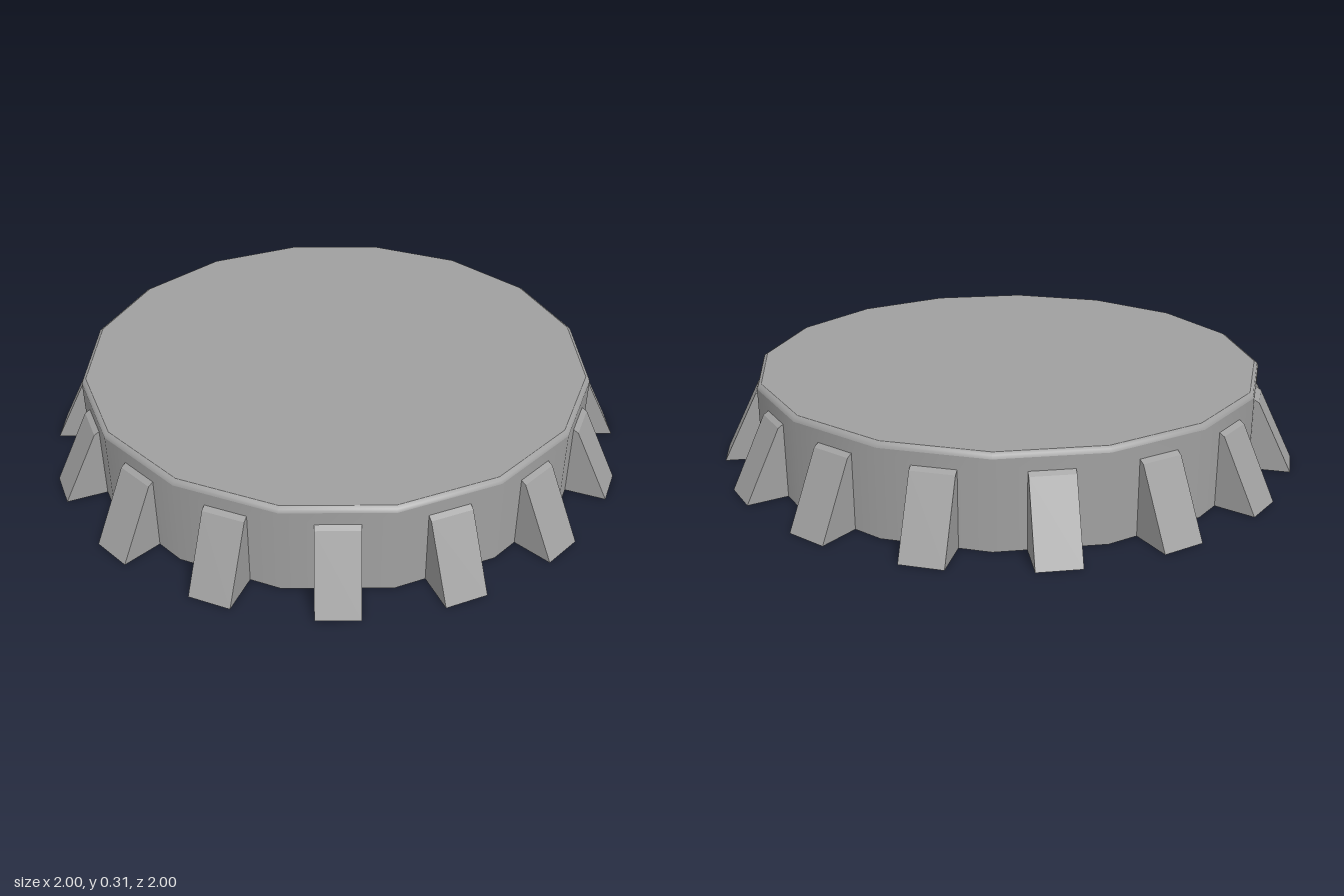
import * as THREE from 'three';

const SIDES = 16;
const STEP = (Math.PI * 2) / SIDES;
const R = 0.885;                          // corner radius of the wall
const APOTHEM = R * Math.cos(STEP / 2);   // middle of each wall panel
const HALF_SIDE = R * Math.sin(STEP / 2);
const HALF_RIDGE = 0.07;
const RIDGE_TOP = 0.25;
const WALL_TOP = 0.293;
const TOP = 0.31;

// One wall panel, notched where the hollow ridge opens into the cap
function wallPanelGeometry() {
  const shape = new THREE.Shape([
    [-HALF_SIDE, 0], [-HALF_RIDGE, 0], [-HALF_RIDGE, RIDGE_TOP], [HALF_RIDGE, RIDGE_TOP],
    [HALF_RIDGE, 0], [HALF_SIDE, 0], [HALF_SIDE, WALL_TOP], [-HALF_SIDE, WALL_TOP],
  ].map(([x, y]) => new THREE.Vector2(x, y)));
  const geo = new THREE.ShapeGeometry(shape).translate(0, 0, APOTHEM);
  // radial normals, so that the ring of panels shades smoothly
  const pos = geo.attributes.position;
  const n = new THREE.Vector3();
  for (let i = 0; i < pos.count; i++) {
    n.set(pos.getX(i), 0, pos.getZ(i)).normalize();
    geo.attributes.normal.setXYZ(i, n.x, n.y, n.z);
  }
  return geo;
}

// Hollow wedge, open below and towards the inside
function ridgeGeometry() {
  const profile = [[APOTHEM, RIDGE_TOP], [0.885, 0.24], [1.005, 0], [APOTHEM, 0]];
  const at = (x, k) => [x, profile[k][1], profile[k][0]];
  const w = HALF_RIDGE;
  const verts = [];
  const quad = (a, b, c, d) => verts.push(...a, ...b, ...c, ...a, ...c, ...d);
  for (let k = 0; k < 2; k++) quad(at(-w, k), at(-w, k + 1), at(w, k + 1), at(w, k));
  quad(at(w, 0), at(w, 1), at(w, 2), at(w, 3));
  quad(at(-w, 3), at(-w, 2), at(-w, 1), at(-w, 0));
  const geo = new THREE.BufferGeometry();
  geo.setAttribute('position', new THREE.Float32BufferAttribute(verts, 3));
  geo.computeVertexNormals();
  return geo;
}

export function createModel() {
  const group = new THREE.Group();
  const metal = new THREE.MeshStandardMaterial({ color: 0xa0a0a0, side: THREE.DoubleSide });
  metal.name = 'grey metal';
  const add = (name, geo, angle = 0) => {
    const mesh = new THREE.Mesh(geo, metal);
    mesh.name = name;
    mesh.rotation.y = angle;
    group.add(mesh);
    return mesh;
  };

  // Skirt: panels and flared ridges around the rim
  const panel = wallPanelGeometry();
  const ridge = ridgeGeometry();
  for (let i = 0; i < SIDES; i++) {
    const angle = (i + 0.5) * STEP;
    add('wallPanel', panel, angle);
    add('ridge', ridge, angle);
  }

  // Rounded shoulder between the wall and the top
  const shoulder = [[R, WALL_TOP], [R - 0.004, 0.304], [R - 0.015, TOP]]
    .map(([x, y]) => new THREE.Vector2(x, y));
  add('shoulder', new THREE.LatheGeometry(shoulder, SIDES));

  // Flat top
  const disc = new THREE.CircleGeometry(R - 0.015, SIDES).rotateX(-Math.PI / 2).translate(0, TOP, 0);
  add('topDisc', disc);

  return group;
}
